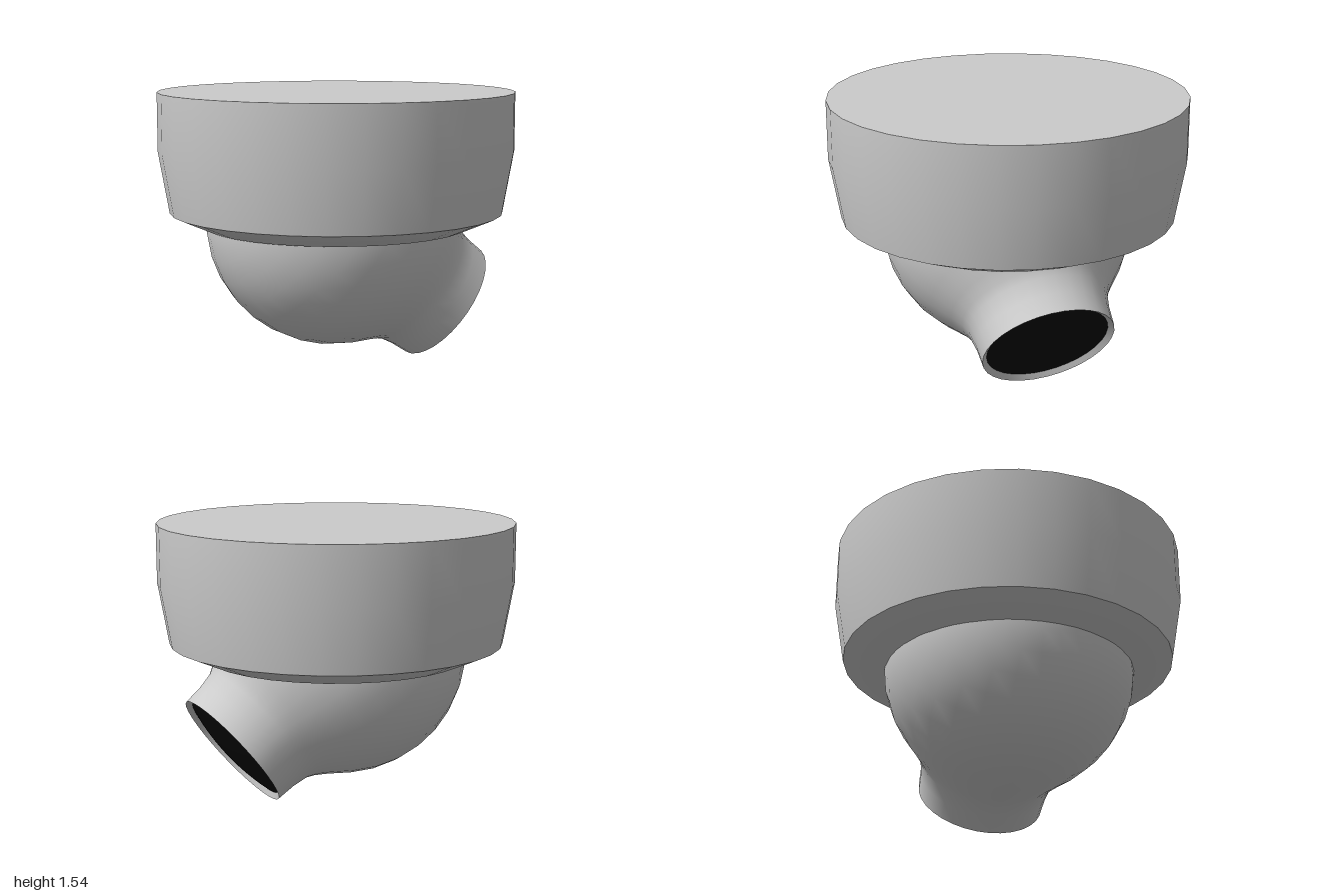
import * as THREE from 'three';
import { toCreasedNormals } from 'three/addons/utils/BufferGeometryUtils.js';

const SIDES = 32;
const grey = new THREE.MeshStandardMaterial({ color: 0xcccccc });
const black = new THREE.MeshStandardMaterial({ color: 0x080808 });

// Revolves [radius, height] points, listed from bottom to top
function turned(name, points, material) {
  const profile = points.map(([r, y]) => new THREE.Vector2(r, y));
  const geometry = toCreasedNormals(new THREE.LatheGeometry(profile, SIDES), 0.44);
  const mesh = new THREE.Mesh(geometry, material);
  mesh.name = name;
  return mesh;
}

export function createModel() {
  const model = new THREE.Group();
  model.name = 'domeCamera';

  // Ceiling housing: straight wall, slight taper, chamfered underside
  model.add(turned('housing', [
    [0, 0.78], [0.745, 0.78], [0.94, 0.865], [1, 1.21], [1, 1.54], [0, 1.54],
  ], grey));

  // Swivelling ball, its turning axis tilted down towards +x
  const eye = new THREE.Group();
  eye.name = 'eye';
  eye.position.set(-0.03, 0.815, 0);
  eye.quaternion.setFromUnitVectors(
    new THREE.Vector3(0, 1, 0), new THREE.Vector3(0.8, -0.6, 0).normalize());
  model.add(eye);

  // Ball profile flowing into the flared neck and its bevelled lip
  const radius = 0.71, steps = 12, ballPoints = [];
  for (let i = 0; i <= steps; i++) {
    const a = THREE.MathUtils.degToRad(180 - (129 * i) / steps);
    ballPoints.push([i === 0 ? 0 : radius * Math.sin(a), radius * Math.cos(a)]);
  }
  ballPoints.push([0.465, 0.55], [0.42, 0.61], [0.396, 0.655], [0.378, 0.75],
    [0.371, 0.86], [0.342, 0.835]);
  eye.add(turned('ballAndNeck', ballPoints, grey));

  // Slightly bulging dark window
  const lensPoints = [];
  for (let i = 0; i <= 6; i++) {
    const r = 1 - i / 6;
    lensPoints.push([0.342 * r, 0.835 + 0.045 * (1 - r * r)]);
  }
  eye.add(turned('lens', lensPoints, black));

  return model;
}
